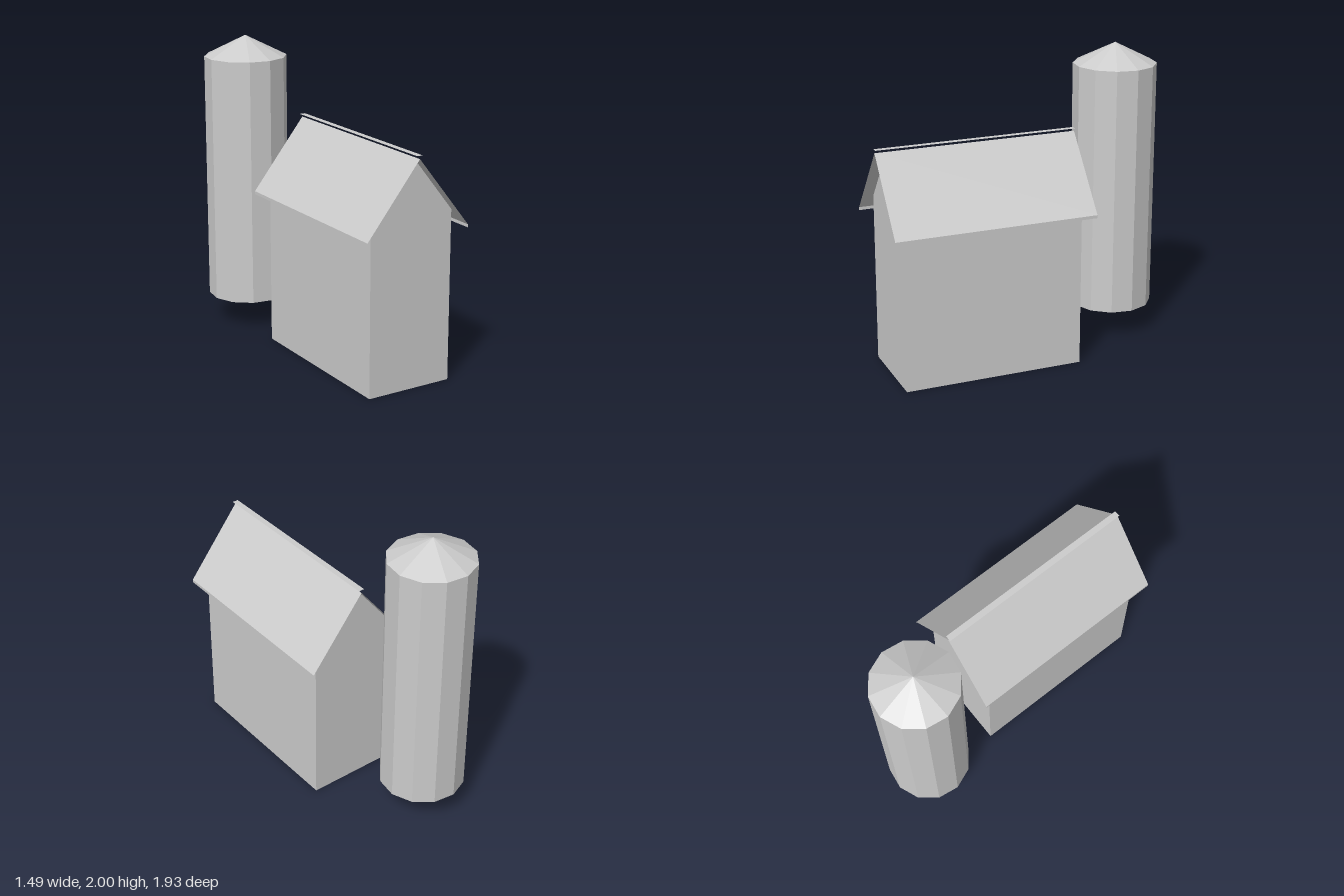
import * as THREE from 'three';

const material = new THREE.MeshStandardMaterial({
  color: 0xcccccc, flatShading: true, side: THREE.DoubleSide,
});

function addMesh(parent, name, geometry) {
  const mesh = new THREE.Mesh(geometry, material);
  mesh.name = name;
  parent.add(mesh);
  return mesh;
}

// Thin folded sheet: a cross-section of [x, y] points swept along z
function sheet(profile, length) {
  const h = length / 2;
  const pos = [];
  for (let i = 0; i < profile.length - 1; i++) {
    const [ax, ay] = profile[i], [bx, by] = profile[i + 1];
    pos.push(ax, ay, h, bx, by, h, bx, by, -h, ax, ay, h, bx, by, -h, ax, ay, -h);
  }
  const geometry = new THREE.BufferGeometry();
  geometry.setAttribute('position', new THREE.Float32BufferAttribute(pos, 3));
  geometry.computeVertexNormals();
  return geometry;
}

function createBarn() {
  const barn = new THREE.Group();
  barn.name = 'barn';
  const halfWidth = 0.295, length = 1.194, wallTop = 1.12, ridge = 1.49;
  const roofHalf = 0.367, roofLength = 1.344, eave = 1.03;

  // Gabled end walls
  const gable = new THREE.Shape([
    [-halfWidth, 0], [halfWidth, 0], [halfWidth, wallTop], [0, ridge], [-halfWidth, wallTop],
  ].map(([x, y]) => new THREE.Vector2(x, y)));
  addMesh(barn, 'frontWall', new THREE.ShapeGeometry(gable)).position.z = length / 2;
  const back = addMesh(barn, 'backWall', new THREE.ShapeGeometry(gable));
  back.position.z = -length / 2;
  back.rotation.y = Math.PI;

  // Side walls and roof slopes, each slope with a small fascia at the eave
  for (const [side, s] of [['left', 1], ['right', -1]]) {
    const wall = [[s * halfWidth, 0], [s * halfWidth, wallTop]];
    const slope = [[s * roofHalf, eave - 0.02], [s * roofHalf, eave], [0, ridge]];
    if (s < 0) { wall.reverse(); slope.reverse(); }
    // front faces point outwards
    addMesh(barn, side + 'Wall', sheet(wall.reverse(), length));
    addMesh(barn, side + 'Roof', sheet(slope.reverse(), roofLength));
  }

  // Flat strip just above the ridge
  addMesh(barn, 'ridgeCap', sheet([[-0.02, 1.51], [0.02, 1.51]], roofLength));

  barn.position.set(0.14, 0, 0.203);
  barn.rotation.y = 0.404;
  return barn;
}

function createSilo() {
  const silo = new THREE.Group();
  silo.name = 'silo';
  const radius = 0.277, bottom = 0.196, top = 1.862, peak = 2;
  addMesh(silo, 'siloWall',
    new THREE.CylinderGeometry(radius, radius, top - bottom, 12, 1, true)).position.y = (top + bottom) / 2;
  addMesh(silo, 'siloRoof',
    new THREE.ConeGeometry(radius, peak - top, 12, 1, true)).position.y = (top + peak) / 2;
  silo.position.set(-0.469, 0, -0.69);
  return silo;
}

export function createModel() {
  const model = new THREE.Group();
  model.name = 'barnAndSilo';
  model.add(createBarn(), createSilo());
  return model;
}
